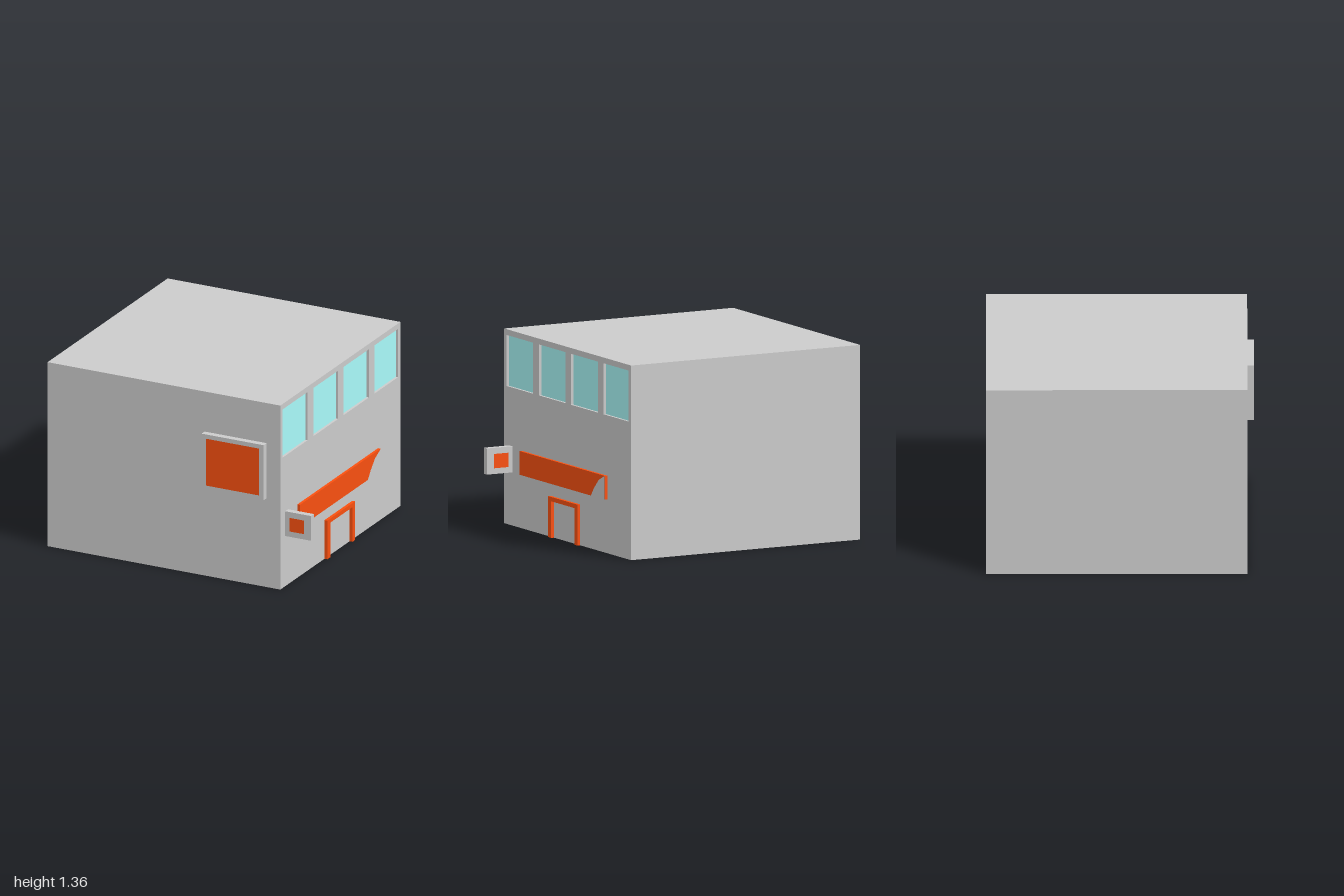
import * as THREE from 'three';

const grey = new THREE.MeshStandardMaterial({ color: 0xcccccc });
const paleGrey = new THREE.MeshStandardMaterial({ color: 0xdedede });
const orange = new THREE.MeshStandardMaterial({ color: 0xfa5010 });
const glass = new THREE.MeshStandardMaterial({ color: 0xaafbfb });

const WALL_X = 0.8, RECESS = 0.02;
const FRONT = 0.875, BACK = -0.92, HEIGHT = 1.355;

export function createModel() {
  const model = new THREE.Group();
  const add = (name, geometry, material) => {
    const mesh = new THREE.Mesh(geometry, material);
    mesh.name = name;
    model.add(mesh);
  };
  // Box given by its extents along each axis
  const box = (name, material, [x0, x1], [y0, y1], [z0, z1]) =>
    add(name, new THREE.BoxGeometry(x1 - x0, y1 - y0, z1 - z0)
      .translate((x0 + x1) / 2, (y0 + y1) / 2, (z0 + z1) / 2), material);
  // Outlines on the side wall are lists of [z, y]; shape x runs along -z
  const outline = (points) => points.map(([z, y]) => new THREE.Vector2(-z, y));
  const rect = (z0, z1, y0, y1) => outline([[z0, y0], [z1, y0], [z1, y1], [z0, y1]]);
  const slab = (shape, x, depth) =>
    new THREE.ExtrudeGeometry(shape, { depth, bevelEnabled: false })
      .rotateY(Math.PI / 2).translate(x, 0, 0);
  const decal = (points, x) =>
    new THREE.ShapeGeometry(new THREE.Shape(points)).rotateY(Math.PI / 2).translate(x, 0, 0);

  // Building block and the side wall pierced by four recessed windows
  box('building', grey, [-1, WALL_X - RECESS], [0, HEIGHT], [BACK, FRONT]);
  const wall = new THREE.Shape(rect(FRONT, BACK, 0, HEIGHT));
  const windows = [[0.84, 0.465], [0.38, 0.01], [-0.07, -0.45], [-0.53, -0.885]];
  for (const [z0, z1] of windows) {
    const opening = rect(z0, z1, 0.96, 1.315);
    wall.holes.push(new THREE.Path(opening));
    add('windowPane', decal(opening, WALL_X - RECESS + 0.002), glass);
  }
  add('windowWall', slab(wall, WALL_X - RECESS, RECESS), grey);

  // Long fascia board with a pale curved corner
  box('fasciaBoard', orange, [WALL_X, 0.82], [0.375, 0.54], [-0.585, 0.62]);
  add('fasciaCorner', decal(outline([
    [-0.39, 0.375], [-0.585, 0.375], [-0.585, 0.54], [-0.5, 0.5], [-0.435, 0.435],
  ]), 0.822), paleGrey);

  // Door surround
  add('doorFrame', slab(new THREE.Shape(outline([
    [0.215, 0], [0.17, 0], [0.17, 0.255], [-0.16, 0.255],
    [-0.16, 0], [-0.2, 0], [-0.2, 0.285], [0.215, 0.285],
  ])), WALL_X, 0.022), orange);

  // Large sign on the front wall
  box('frontSign', grey, [0.215, 0.695], [0.655, 1.06], [FRONT, 0.92]);
  add('frontSignPanel', new THREE.PlaneGeometry(0.41, 0.345)
    .translate(0.455, 0.857, 0.922), orange);

  // Small projecting sign with a panel on both faces
  box('projectingSign', grey, [WALL_X, 1], [0.37, 0.552], [0.758, 0.802]);
  for (const side of [1, -1]) {
    add('projectingSignPanel', new THREE.PlaneGeometry(0.115, 0.1)
      .rotateY(side > 0 ? 0 : Math.PI).translate(0.89, 0.46, 0.78 + side * 0.024), orange);
  }
  return model;
}
